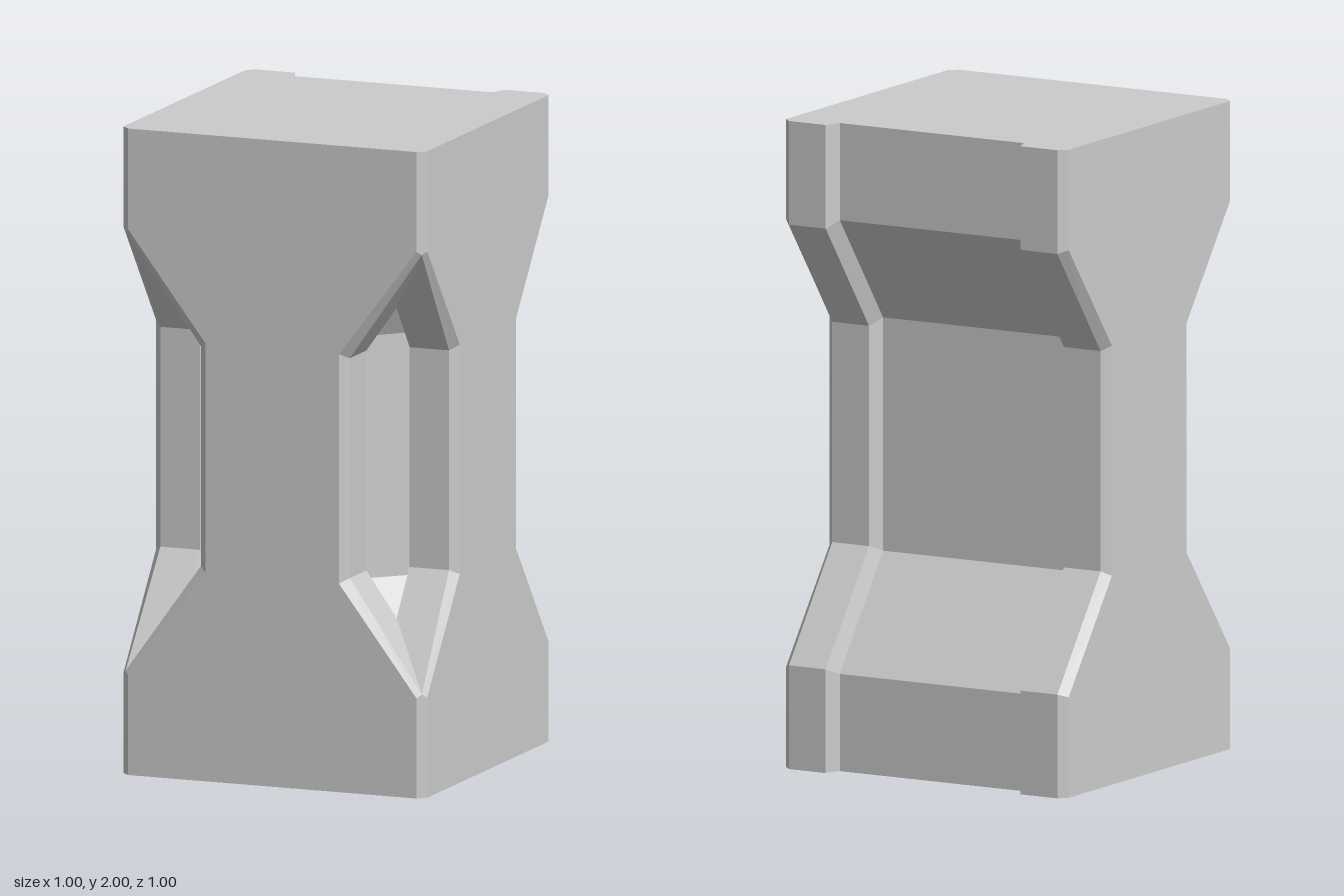
import * as THREE from 'three';

const lerp = (a, b, t) => a.map((v, i) => v + (b[i] - v) * t);
const swapXZ = ([x, y, z]) => [z, y, x];

// Full outline at one level: right front corner notch, right half of the back, then mirrored.
function ring(front, back) {
  const corner = [...front, ...front.map(swapXZ).reverse()];
  const half = [...corner, ...back];
  return [...half, ...half.map(([x, y, z]) => [-x, y, z]).reverse()];
}

// Upper half levels, from the waist kink up to the top.
// front: chamfer outer edge, chamfer inner edge, groove edge, groove floor
// back: chamfer side edge, chamfer back edge, groove edge, groove floor
function upperRings() {
  const apex = [0.4875, 1.68, 0.4875];
  const kinkF = [[0.22, 1.355, 0.5], [0.245, 1.34, 0.475], [0.245, 1.34, 0.345], [0.195, 1.375, 0.325]];
  const kinkB = [[0.5, 1.355, -0.22], [0.475, 1.34, -0.245], [0.345, 1.34, -0.245], [0.325, 1.36, -0.195]];
  const endF = [[0.475, 1.69, 0.5], apex, apex, apex];
  const endB = [[0.5, 1.69, -0.475], [0.475, 1.68, -0.5], [0.345, 1.68, -0.5], [0.325, 1.7, -0.45]];
  // level where the two grooves of a corner meet
  const t = 0.41;
  const meet = [0.345, 1.48, 0.345];
  const midF = [lerp(kinkF[0], endF[0], t), lerp(kinkF[1], apex, t), meet, [0.295, 1.51, 0.325]];
  const closedF = [midF[0], midF[1], meet, meet];
  const midB = kinkB.map((p, i) => lerp(p, endB[i], t));
  const toTop = (p) => [p[0], 2, p[2]];
  return [
    ring(kinkF, kinkB),
    ring(midF, midB),
    ring(closedF, midB),
    ring(endF, endB),
    ring(endF.map(toTop), endB.map(toTop)),
  ];
}

// Skin consecutive rings and close both ends.
function loft(rings) {
  const positions = [];
  const a = new THREE.Vector3(), b = new THREE.Vector3(), c = new THREE.Vector3();
  const tri = (p, q, r) => {
    a.fromArray(p);
    b.fromArray(q).sub(a);
    c.fromArray(r).sub(a);
    if (b.cross(c).length() > 1e-7) positions.push(...p, ...q, ...r);
  };
  const n = rings[0].length;
  for (let k = 0; k < rings.length - 1; k++) {
    const lo = rings[k], hi = rings[k + 1];
    for (let i = 0; i < n; i++) {
      const j = (i + 1) % n;
      tri(lo[i], lo[j], hi[j]);
      tri(lo[i], hi[j], hi[i]);
    }
  }
  const first = rings[0], last = rings[rings.length - 1];
  for (let i = 0; i < n; i++) {
    const j = (i + 1) % n;
    tri([0, 2, 0.42], last[i], last[j]);
    tri([0, 0, 0.42], first[j], first[i]);
  }
  const geometry = new THREE.BufferGeometry();
  geometry.setAttribute('position', new THREE.Float32BufferAttribute(positions, 3));
  geometry.computeVertexNormals();
  return geometry;
}

export function createModel() {
  const group = new THREE.Group();
  group.name = 'pillar';
  // the lower half mirrors the upper half
  const upper = upperRings();
  const lower = upper.map((r) => r.map(([x, y, z]) => [x, 2 - y, z])).reverse();
  const material = new THREE.MeshStandardMaterial({ color: 0xcccccc, flatShading: true });
  const body = new THREE.Mesh(loft([...lower, ...upper]), material);
  body.name = 'pillarBody';
  group.add(body);
  return group;
}
